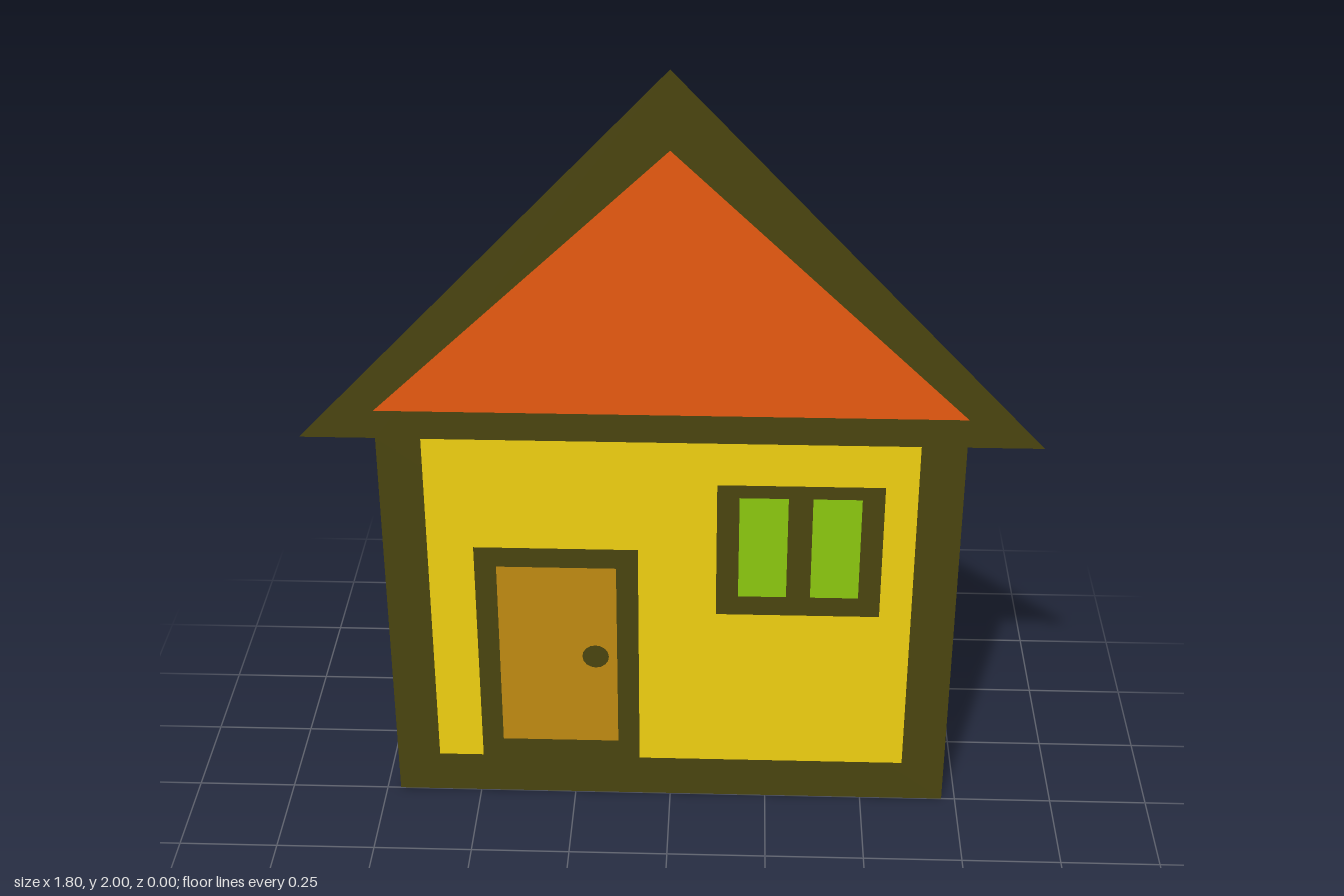
import * as THREE from 'three';

const COLORS = {
  trim: 0x4a450f,
  wall: 0xf0d010,
  gable: 0xe85a10,
  door: 0xc08a12,
  glass: 0x8cc80f,
};
const LAYER = 0.001; // tiny step that keeps the flat layers from flickering

export function createModel() {
  const house = new THREE.Group();
  house.name = 'flatHouse';

  const materials = {};
  for (const [key, color] of Object.entries(COLORS)) {
    materials[key] = new THREE.MeshStandardMaterial({ color, side: THREE.DoubleSide });
  }

  // One flat piece, lying on the given layer
  const addFlat = (name, material, layer, geometry) => {
    const mesh = new THREE.Mesh(geometry, materials[material]);
    mesh.name = name;
    mesh.position.z = layer * LAYER;
    house.add(mesh);
    return mesh;
  };
  const polygon = (points) =>
    new THREE.ShapeGeometry(new THREE.Shape(points.map(([x, y]) => new THREE.Vector2(x, y))));
  const rect = (x0, x1, y0, y1) => polygon([[x0, y0], [x1, y0], [x1, y1], [x0, y1]]);

  // Dark backing: walls and overhanging roof in one silhouette
  addFlat('houseOutline', 'trim', 0, polygon([
    [-0.715, 0], [0.715, 0], [0.715, 1.06], [0.9, 1.06],
    [0, 2], [-0.9, 1.06], [-0.715, 1.06],
  ]));

  // Coloured gable and wall
  addFlat('gable', 'gable', 1, polygon([[-0.715, 1.135], [0.715, 1.135], [0, 1.81]]));
  addFlat('wall', 'wall', 1, rect(-0.605, 0.605, 0.115, 1.06));

  // Door with frame and knob
  addFlat('doorFrame', 'trim', 2, rect(-0.49, -0.08, 0.115, 0.755));
  addFlat('door', 'door', 3, rect(-0.435, -0.135, 0.17, 0.7));
  addFlat('doorKnob', 'trim', 4, new THREE.CircleGeometry(0.034, 16)).position.set(-0.19, 0.435, 4 * LAYER);

  // Window with two tall panes
  addFlat('windowFrame', 'trim', 2, rect(0.115, 0.525, 0.57, 0.945));
  for (const [name, x] of [['rightPane', 0.17], ['leftPane', 0.35]]) {
    addFlat(name, 'glass', 3, rect(x, x + 0.12, 0.625, 0.91));
  }

  return house;
}
